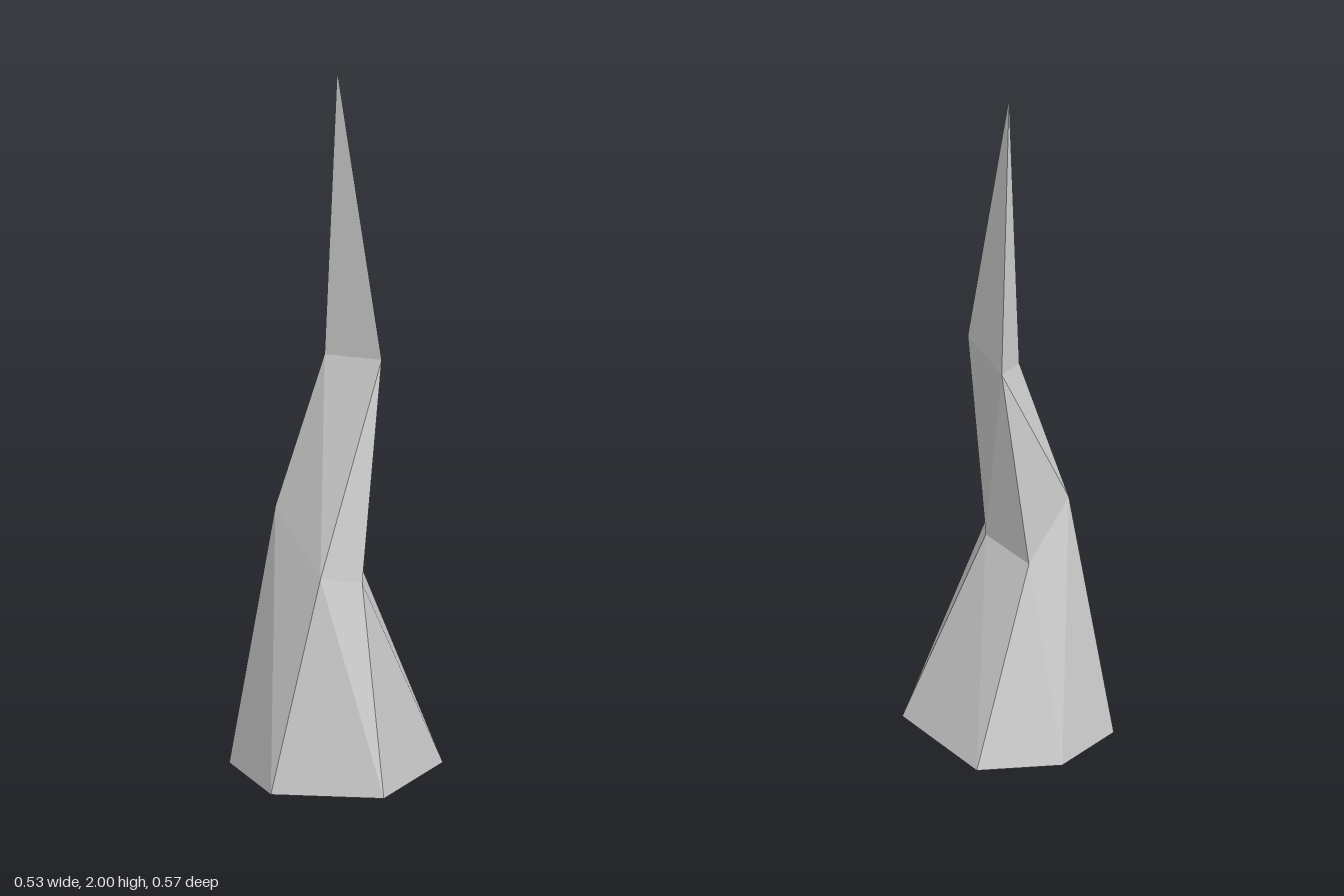
import * as THREE from 'three';

// Cross-sections from bottom to top, each ordered counter-clockwise seen from above
const base = [
  [-0.189, 0, -0.214], [-0.268, 0, 0.068], [-0.048, 0, 0.284],
  [0.267, 0, 0.143], [0.228, 0, -0.193], [0.014, 0, -0.286],
];
const waist = [
  [-0.1, 0.74, -0.125], [-0.132, 0.6, 0.113], [-0.027, 0.58, 0.163],
  [0.065, 0.58, 0.04], [0.03, 0.57, -0.133],
];
const neck = [[0.015, 1.17, -0.055], [0.078, 1.185, 0.115], [0.1, 1.19, -0.107]];
const tip = [[0.015, 2, 0]];

// Joins two rings with triangles: L advances the lower ring, U the upper one
function stitch(lower, upper, steps) {
  const out = [];
  let i = 0, j = 0;
  const lo = (k) => lower[k % lower.length];
  const up = (k) => upper[k % upper.length];
  for (const step of steps) {
    if (step === 'L') out.push(lo(i), lo(++i), up(j));
    else out.push(lo(i), up(j + 1), up(j++));
  }
  return out;
}

// Flat underside as a downward-facing fan
function cap(ring) {
  const out = [];
  for (let i = 1; i < ring.length - 1; i++) out.push(ring[0], ring[i + 1], ring[i]);
  return out;
}

export function createModel() {
  const group = new THREE.Group();
  group.name = 'crookedSpike';
  const material = new THREE.MeshStandardMaterial({ color: 0xcccccc, flatShading: true });

  const addPart = (name, triangles) => {
    const geometry = new THREE.BufferGeometry();
    geometry.setAttribute('position', new THREE.Float32BufferAttribute(triangles.flat(), 3));
    geometry.computeVertexNormals();
    const mesh = new THREE.Mesh(geometry, material);
    mesh.name = name;
    group.add(mesh);
  };

  // Six-sided flared foot, twisted middle and three-sided point
  addPart('foot', [...cap(base), ...stitch(base, waist, 'LULULULULUL')]);
  addPart('bentMiddle', stitch(waist, neck, 'LULLULLU'));
  addPart('point', stitch(neck, tip, 'LLL'));
  return group;
}
